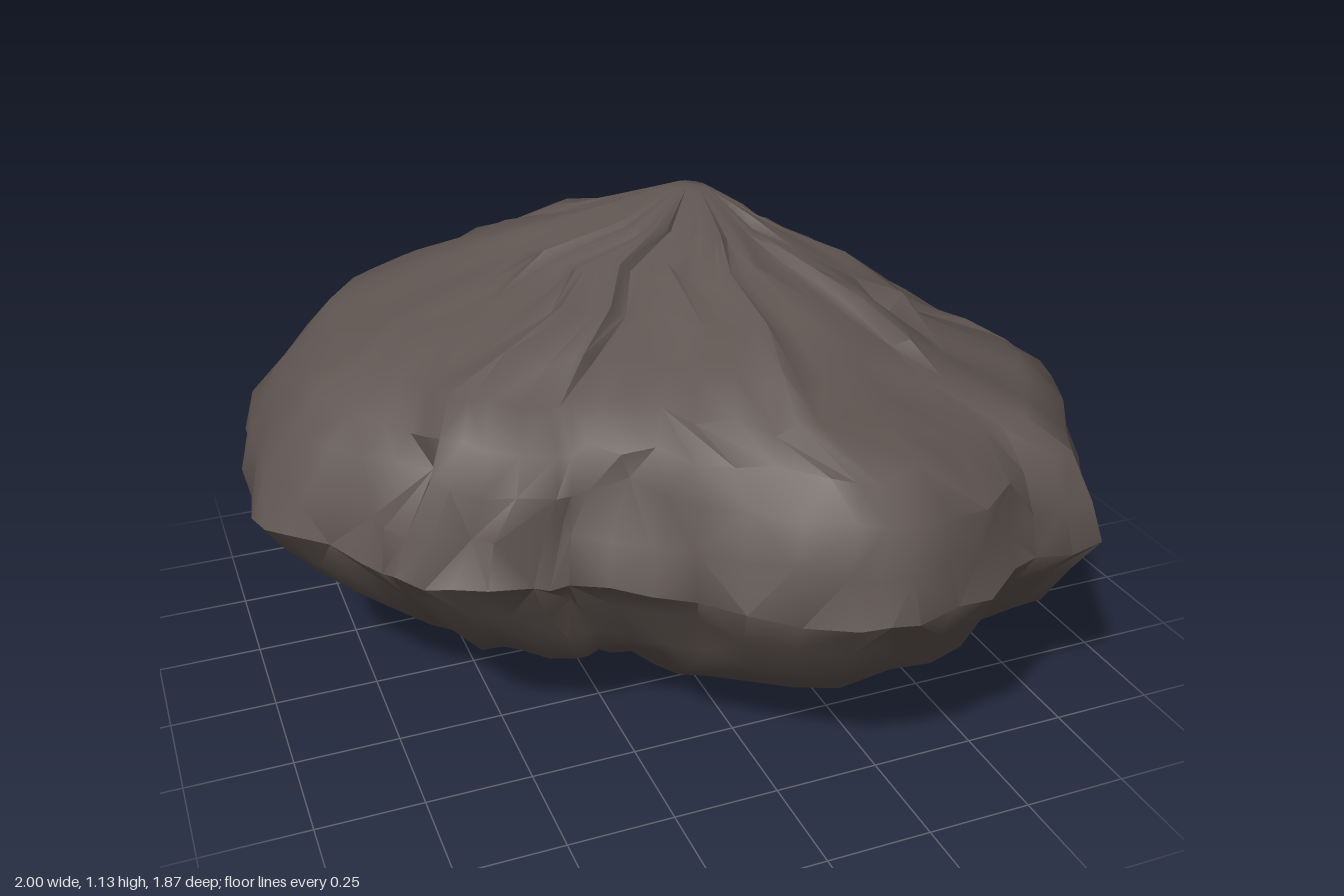
import * as THREE from 'three';
import { toCreasedNormals } from 'three/addons/utils/BufferGeometryUtils.js';

// Widest outline of the boulder seen from above, as [x, z]
const OUTLINE = [
  [1, 0.25], [0.95, 0.42], [0.86, 0.62], [0.77, 0.78], [0.62, 0.77], [0.42, 0.89], [0.22, 0.93], [0.1, 0.89],
  [-0.1, 0.77], [-0.25, 0.61], [-0.4, 0.51], [-0.48, 0.51], [-0.65, 0.45], [-0.75, 0.37], [-0.8, 0.25], [-0.93, 0.1],
  [-1, -0.02], [-0.98, -0.3], [-0.93, -0.53], [-0.73, -0.77], [-0.43, -0.84], [-0.32, -0.88], [-0.13, -0.93],
  [0.18, -0.9], [0.35, -0.82], [0.52, -0.66], [0.73, -0.53], [0.78, -0.37], [0.91, -0.25], [0.96, 0], [0.98, 0.13],
];

// Extents of each level: [y, xMin, xMax, zMin, zMax]
const LEVELS = [
  [0, -0.22, 0.36, -0.6, 0.15],
  [0.05, -0.45, 0.43, -0.65, 0.27],
  [0.11, -0.6, 0.54, -0.7, 0.48],
  [0.2, -0.72, 0.75, -0.82, 0.69],
  [0.3, -0.84, 0.93, -0.89, 0.81],
  [0.4, -0.93, 0.97, -0.93, 0.86],
  [0.5, -1, 1, -0.93, 0.93],
  [0.6, -0.97, 0.97, -0.91, 0.9],
  [0.7, -0.89, 0.94, -0.89, 0.87],
  [0.78, -0.82, 0.83, -0.83, 0.79],
  [0.84, -0.74, 0.66, -0.79, 0.63],
  [0.9, -0.6, 0.6, -0.73, 0.52],
  [0.96, -0.4, 0.5, -0.63, 0.37],
  [1.02, -0.27, 0.37, -0.44, 0.17],
  [1.07, -0.05, 0.28, -0.33, 0.06],
  [1.13, 0.11, 0.2, -0.22, -0.12],
];

function seeded(seed) {
  return () => {
    seed = (seed * 1664525 + 1013904223) % 4294967296;
    return seed / 4294967296;
  };
}

function boulderGeometry() {
  const random = seeded(41);
  const columns = OUTLINE.length * 2;
  const rows = LEVELS.length;
  const positions = [];
  const index = [];

  LEVELS.forEach(([y, x0, x1, z0, z1], row) => {
    const onEdge = row === 0 || row === rows - 1;
    for (let j = 0; j < columns; j++) {
      // Fit the outline into the extents of this level
      const a = OUTLINE[j >> 1];
      const b = OUTLINE[((j + 1) >> 1) % OUTLINE.length];
      const u = (a[0] + b[0]) / 2;
      const v = (a[1] + b[1]) / 2 / 0.93;
      const cx = (x0 + x1) / 2;
      const cz = (z0 + z1) / 2;
      let dx = u * (x1 - x0) / 2;
      let dz = v * (z1 - z0) / 2;

      // Broad lumps, fine roughness and a few sharp chips
      const lump = 0.014 * Math.sin(5 * u + 9 * y) * Math.cos(6 * v - 7 * y);
      const chip = random() < 0.035 ? -0.07 : 0;
      const rough = (random() - 0.5) * 0.025;
      const s = onEdge ? 1 : 1 + lump + rough + chip;
      dx *= s;
      dz *= s;
      const lift = onEdge ? 0 : (random() - 0.5) * 0.035;
      positions.push(
        THREE.MathUtils.clamp(cx + dx, -1, 1),
        y + lift,
        THREE.MathUtils.clamp(cz + dz, -0.935, 0.935)
      );
    }
  });

  // Skin between neighbouring levels, with varied diagonals
  for (let i = 0; i < rows - 1; i++) {
    for (let j = 0; j < columns; j++) {
      const k = (j + 1) % columns;
      const a = i * columns + j;
      const b = i * columns + k;
      const c = a + columns;
      const d = b + columns;
      if (random() < 0.5) index.push(a, c, b, b, c, d);
      else index.push(a, c, d, a, d, b);
    }
  }

  // Flat base and small crown
  const base = positions.length / 3;
  positions.push(0.07, 0, -0.22, 0.155, 1.135, -0.17);
  const last = (rows - 1) * columns;
  for (let j = 0; j < columns; j++) {
    const k = (j + 1) % columns;
    index.push(base, j, k, base + 1, last + k, last + j);
  }

  const geometry = new THREE.BufferGeometry();
  geometry.setAttribute('position', new THREE.Float32BufferAttribute(positions, 3));
  geometry.setIndex(index);
  return toCreasedNormals(geometry, 0.85);
}

export function createModel() {
  const group = new THREE.Group();
  group.name = 'rock';
  const stone = new THREE.MeshStandardMaterial({ color: 0x5e5450 });
  stone.name = 'dark stone';
  const boulder = new THREE.Mesh(boulderGeometry(), stone);
  boulder.name = 'boulder';
  group.add(boulder);
  return group;
}
